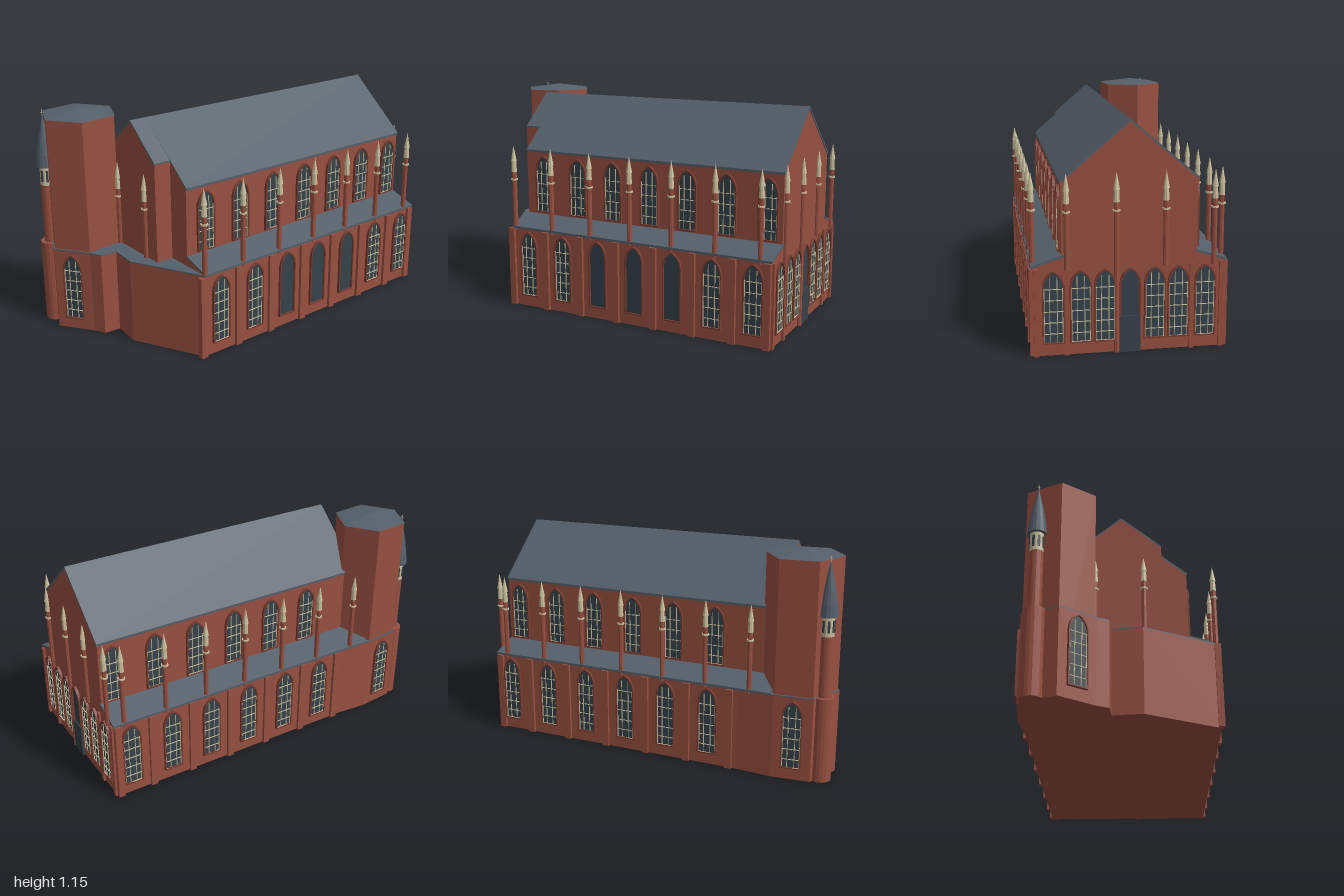
import * as THREE from 'three';

const mat = (color) => new THREE.MeshStandardMaterial({ color, flatShading: true, side: THREE.DoubleSide });
const BRICK = mat(0x985041), TRIM = mat(0x7a3d31), ROOF = mat(0x55606b), GLASS = mat(0x36424a), STONE = mat(0xcbc19f);

function add(parent, name, geo, material, x = 0, y = 0, z = 0) {
  const m = new THREE.Mesh(geo, material);
  m.name = name;
  m.position.set(x, y, z);
  parent.add(m);
  return m;
}

const shapeOf = (pts) => new THREE.Shape(pts.map(([x, y]) => new THREE.Vector2(x, y)));
const extrude = (shape, depth) => new THREE.ExtrudeGeometry(shape, { depth, bevelEnabled: false, curveSegments: 6 });

// Profile of [z, y] points swept along x from x0 to x1
const sweep = (pts, x0, x1) =>
  extrude(shapeOf(pts.map(([z, y]) => [-z, y])), x1 - x0).rotateY(Math.PI / 2).translate(x0, 0, 0);

// Floor plan of [x, z] points raised from y0 to y1
const raise = (pts, y0, y1) =>
  extrude(shapeOf(pts.map(([x, z]) => [x, -z])), y1 - y0).rotateX(-Math.PI / 2).translate(0, y0, 0);

// Roof skin between two [z, y] points
const skin = ([za, ya], [zb, yb], x0, x1) =>
  sweep([[za, ya - 0.008], [zb, yb - 0.008], [zb, yb + 0.004], [za, ya + 0.004]], x0, x1);

// Pointed arch outline, foot at y = 0
function arch(w, h, Cls = THREE.Shape, inset = 0) {
  const a = w / 2 - inset, t = h - inset, spring = h - w * 0.8;
  const s = new Cls();
  s.moveTo(-a, inset);
  s.lineTo(a, inset);
  s.lineTo(a, spring);
  s.quadraticCurveTo(a * 0.95, t - w * 0.22, 0, t);
  s.quadraticCurveTo(-a * 0.95, t - w * 0.22, -a, spring);
  s.closePath();
  return s;
}

// Arched window facing +z, with optional stone tracery
function makeWindow(h, tracery = true, w = 0.105) {
  const g = new THREE.Group();
  g.name = tracery ? 'tracedWindow' : 'blindWindow';
  const ring = arch(w, h);
  ring.holes.push(arch(w, h, THREE.Path, 0.007));
  add(g, 'windowFrame', extrude(ring, 0.014), TRIM);
  add(g, 'glass', extrude(arch(w, h, THREE.Shape, 0.004), 0.005), GLASS);
  if (!tracery) return g;
  for (const x of [-0.018, 0.018])
    add(g, 'mullion', new THREE.BoxGeometry(0.003, h - 0.04, 0.004), STONE, x, h / 2 - 0.012, 0.007);
  for (let y = 0.05; y < h - 0.06; y += 0.055)
    add(g, 'glazingBar', new THREE.BoxGeometry(w - 0.014, 0.003, 0.004), STONE, 0, y, 0.007);
  add(g, 'sill', new THREE.BoxGeometry(w - 0.01, 0.004, 0.012), STONE, 0, 0.005, 0.006);
  for (const s of [-1, 1])
    add(g, 'jamb', new THREE.BoxGeometry(0.003, h - w * 0.8, 0.004), STONE, s * (w / 2 - 0.009), (h - w * 0.8) / 2, 0.007);
  return g;
}

function place(parent, obj, x, y, z, turn = 0) {
  obj.position.set(x, y, z);
  obj.rotation.y = turn;
  parent.add(obj);
}

// Slender brick shaft with a stone collar and spire
function makePinnacle(base) {
  const g = new THREE.Group();
  g.name = 'pinnacle';
  add(g, 'shaft', new THREE.CylinderGeometry(0.013, 0.013, 0.74 - base, 8), BRICK, 0, (0.74 + base) / 2);
  add(g, 'collar', new THREE.CylinderGeometry(0.019, 0.019, 0.008, 8), STONE, 0, 0.7);
  add(g, 'pinnacleCap', new THREE.CylinderGeometry(0.012, 0.015, 0.06, 8), STONE, 0, 0.77);
  add(g, 'spire', new THREE.ConeGeometry(0.016, 0.085, 8), STONE, 0, 0.84);
  return g;
}

export function createModel() {
  const model = new THREE.Group();
  model.name = 'church';

  // The nave lies diagonally: local x runs along it, the ridge is at z = 0
  const nave = new THREE.Group();
  nave.name = 'nave';
  nave.position.set(0.647, 0, -0.527);
  nave.rotation.y = 0.775;
  model.add(nave);

  const W = 0.325, A = 0.462, END = -1.49, STEP = -1.58;
  add(nave, 'naveWalls', sweep([[-W, 0], [W, 0], [W, 0.84], [0, 1.115], [-W, 0.84]], END, 0), BRICK);
  add(nave, 'naveEndWalls', sweep([[-W, 0], [0.2, 0], [0.2, 0.945], [0, 1.115], [-W, 0.84]], STEP, END), BRICK);
  add(nave, 'frontRoof', skin([W + 0.005, 0.84], [0, 1.12], END, 0.004), ROOF);
  add(nave, 'frontEndRoof', skin([0.2, 0.948], [0, 1.12], STEP, END), ROOF);
  add(nave, 'backRoof', skin([-W - 0.005, 0.84], [0, 1.12], STEP, 0.004), ROOF);

  // Side aisles with lean-to roofs
  for (const s of [1, -1]) {
    const x0 = s > 0 ? END : -1.6;
    add(nave, 'aisleWalls', sweep([[s * 0.3, 0], [s * A, 0], [s * A, 0.44], [s * W, 0.485], [s * 0.3, 0.485]], x0, 0), BRICK);
    add(nave, 'aisleRoof', skin([s * (A + 0.008), 0.44], [s * (W - 0.01), 0.491], x0, 0.004), ROOF);
  }

  // Long-side windows, pilasters and pinnacles
  for (const s of [1, -1]) {
    const turn = s > 0 ? 0 : Math.PI;
    const pitch = s > 0 ? 0.217 : 0.235;
    const count = s > 0 ? 7 : 6;
    for (let i = 0; i < count; i++) {
      const x = -0.09 - pitch * i;
      const blind = s > 0 && i >= 2 && i <= 4;
      place(nave, makeWindow(0.36, !blind), x, 0.06, s * A, turn);
      place(nave, makeWindow(0.315), x + 0.015, 0.5, s * W, turn);
      for (const d of [-0.5, 0.5].slice(0, i === 0 ? 2 : 1))
        add(nave, 'pilaster', new THREE.BoxGeometry(0.036, 0.43, 0.03), BRICK, Math.min(x + d * pitch, -0.018), 0.215, s * A);
    }
    for (let i = 0; i < 7; i++)
      place(nave, makePinnacle(0.42), -0.06 - 0.237 * i, 0, s * (A - 0.005));
  }

  // Gable facade: doorway flanked by windows
  const quarter = Math.PI / 2;
  for (const z of [-0.365, -0.235, -0.12, 0.12, 0.235, 0.365])
    place(nave, makeWindow(0.36), 0, 0.06, z, quarter);
  place(nave, makeWindow(0.36, false, 0.1), 0, 0.06, 0, quarter);
  add(nave, 'door', new THREE.BoxGeometry(0.03, 0.18, 0.1), GLASS, 0, 0.09, 0);
  for (const z of [-0.3, 0.3, -0.445, 0.445])
    add(nave, 'pilaster', new THREE.BoxGeometry(0.024, 0.43, 0.022), BRICK, 0, 0.215, z);
  for (const z of [-0.405, -0.17, 0.065, 0.3])
    place(nave, makePinnacle(z === 0.065 ? 0 : 0.42), 0.006, 0, z);
  for (const z of [-0.13, 0.11])
    place(nave, makePinnacle(0.42), STEP - 0.005, 0, z);

  // Six-sided tower
  const TX = -0.77, TZ = 0.45, R = 0.192;
  const corner = (deg, r) => [TX + r * Math.cos(deg * Math.PI / 180), TZ + r * Math.sin(deg * Math.PI / 180)];
  const hexStart = 20 * Math.PI / 180;
  add(model, 'tower', new THREE.CylinderGeometry(R, R, 1.12, 6, 1, false, hexStart), BRICK, TX, 0.56, TZ);
  add(model, 'towerRoof', new THREE.ConeGeometry(R + 0.004, 0.027, 6, 1, false, hexStart), ROOF, TX, 1.133, TZ);

  // Low annex wrapping the tower foot and joining the aisles
  const plan = [[-0.09, 0.85], [-0.48, 0.72], [-0.575, 0.605], [-0.64, 0.66],
    ...[70, 130, 190, 250].map((d) => corner(d, 0.2)), [-0.6, 0.06], [-0.1, 0.5]];
  add(model, 'annexWalls', raise(plan, 0, 0.435), BRICK);
  add(model, 'annexRoof', raise(plan, 0.435, 0.441), ROOF);
  for (const deg of [100, 220]) {
    const [x, z] = corner(deg, 0.173);
    place(model, makeWindow(0.36), x, 0.06, z, quarter - deg * Math.PI / 180);
  }

  // Round stair turret with lantern and flared spire
  const turret = new THREE.Group();
  turret.name = 'stairTurret';
  turret.position.set(-0.945, 0, 0.485);
  model.add(turret);
  add(turret, 'turretBase', new THREE.CylinderGeometry(0.055, 0.055, 0.44, 20), BRICK, 0, 0.22);
  add(turret, 'turretShaft', new THREE.CylinderGeometry(0.034, 0.034, 0.31, 20), BRICK, 0, 0.595);
  add(turret, 'lantern', new THREE.CylinderGeometry(0.034, 0.034, 0.1, 16), STONE, 0, 0.8);
  for (let i = 0; i < 8; i++) {
    const a = (i + 0.5) * Math.PI / 4;
    const slit = add(turret, 'lanternOpening', new THREE.BoxGeometry(0.012, 0.06, 0.006), GLASS,
      0.033 * Math.sin(a), 0.8, 0.033 * Math.cos(a));
    slit.rotation.y = a;
  }
  const flare = [[0.034, 0.848], [0.05, 0.848], [0.043, 0.91], [0.031, 0.98], [0.015, 1.05], [0.002, 1.11]];
  add(turret, 'turretSpire', new THREE.LatheGeometry(flare.map(([r, y]) => new THREE.Vector2(r, y)), 16), ROOF);
  add(turret, 'finial', new THREE.CylinderGeometry(0.002, 0.002, 0.04, 6), STONE, 0, 1.12);
  add(turret, 'finialArm', new THREE.BoxGeometry(0.016, 0.003, 0.003), STONE, 0, 1.125);

  return model;
}
